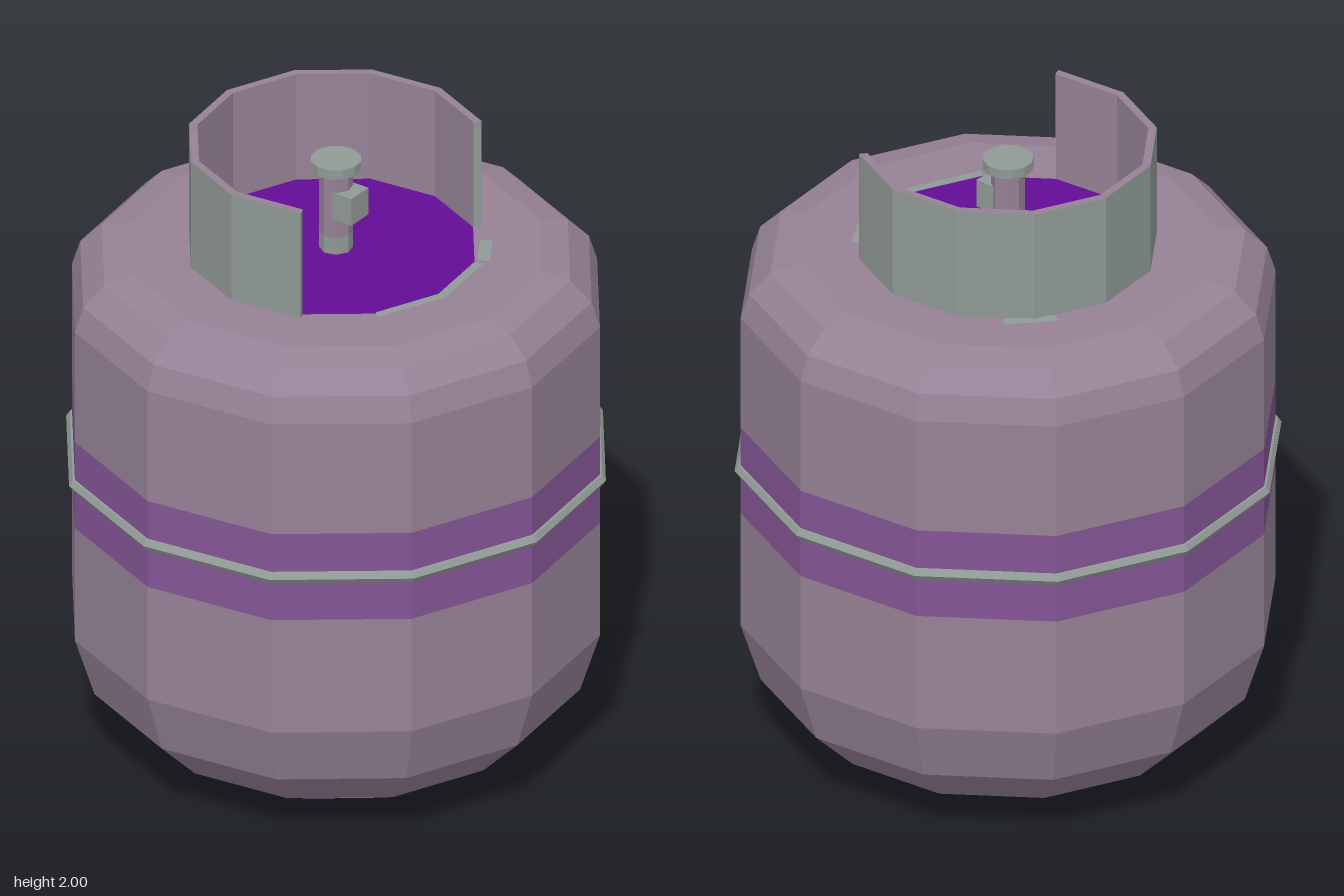
import * as THREE from 'three';

const mat = (name, color) => {
  const m = new THREE.MeshStandardMaterial({ color });
  m.name = name;
  return m;
};
const DEG = Math.PI / 180;

export function createModel() {
  const group = new THREE.Group();
  group.name = 'gasCylinder';
  const paint = mat('mauve paint', 0x968296);
  const band = mat('band purple', 0x845696);
  const purple = mat('deep purple', 0x620c96);
  const metal = mat('grey metal', 0x909a96);

  // Adds a mesh with faceted normals
  const add = (name, geometry, material, parent = group) => {
    const g = geometry.index ? geometry.toNonIndexed() : geometry;
    g.computeVertexNormals();
    const mesh = new THREE.Mesh(g, material);
    mesh.name = name;
    parent.add(mesh);
    return mesh;
  };
  // Faceted turned part from [radius, y] points, angles in degrees from the front
  const turn = (name, pts, material, parent = group, sides = 12, start = 0, arc = 360) =>
    add(name, new THREE.LatheGeometry(pts.map(p => new THREE.Vector2(...p)), sides, start * DEG, arc * DEG), material, parent);

  // Foot
  turn('footBase', [[0, 0], [0.4, 0]], metal);
  turn('footWall', [[0.4, 0], [0.4, 0.06]], paint);
  turn('footTrim', [[0.4, 0.058], [0.45, 0.066]], purple);

  // Tank body with painted band
  turn('lowerBody', [[0.45, 0.066], [0.6, 0.11], [0.74, 0.25], [0.8, 0.44], [0.8, 0.82]], paint);
  turn('paintedBand', [[0.8, 0.82], [0.8, 1.11]], band);
  turn('upperBody', [[0.8, 1.11], [0.8, 1.48], [0.775, 1.56], [0.71, 1.625], [0.62, 1.645], [0.42, 1.645]], paint);
  turn('topDisc', [[0.42, 1.645], [0, 1.645]], purple);

  // Weld seam around the middle
  turn('weldSeam', [[0.79, 0.945], [0.807, 0.948], [0.818, 0.965], [0.807, 0.982], [0.79, 0.985]], metal);

  // Worn metal patches at the collar base
  turn('frontWear', [[0.447, 1.648], [0.418, 1.648]], metal, group, 2, -30, 60);
  turn('sideWear', [[0.462, 1.648], [0.425, 1.648]], metal, group, 1, 32, 16);
  turn('rearWear', [[0.475, 1.648], [0.44, 1.648]], metal, group, 1, 138, 20);

  // Guard collar, open at the front
  const collar = new THREE.Group();
  collar.name = 'guardCollar';
  group.add(collar);
  turn('collarOuter', [[0.445, 1.64], [0.445, 2]], metal, collar, 8, 60, 240);
  turn('collarRim', [[0.445, 2], [0.42, 2]], paint, collar, 8, 60, 240);
  turn('collarInner', [[0.42, 2], [0.42, 1.64]], paint, collar, 8, 60, 240);
  for (const side of [-1, 1]) {
    const end = add('collarEnd', new THREE.BoxGeometry(0.004, 0.36, 0.025), metal, collar);
    end.position.set(side * 0.4325 * Math.sin(60 * DEG), 1.82, 0.4325 * Math.cos(60 * DEG));
    end.rotation.y = side * 60 * DEG;
  }

  // Valve
  const valve = new THREE.Group();
  valve.name = 'valve';
  group.add(valve);
  turn('stemBase', [[0.05, 1.645], [0.05, 1.7]], metal, valve, 8);
  turn('stem', [[0.05, 1.7], [0.05, 1.915]], paint, valve, 8);
  turn('knob', [[0, 1.912], [0.076, 1.912], [0.076, 1.943], [0, 1.943]], metal, valve);
  const outlet = add('outlet', new THREE.BoxGeometry(0.085, 0.09, 0.09), metal, valve);
  outlet.position.set(0.005, 1.808, 0.042);
  outlet.rotation.y = 0.15;

  return group;
}
